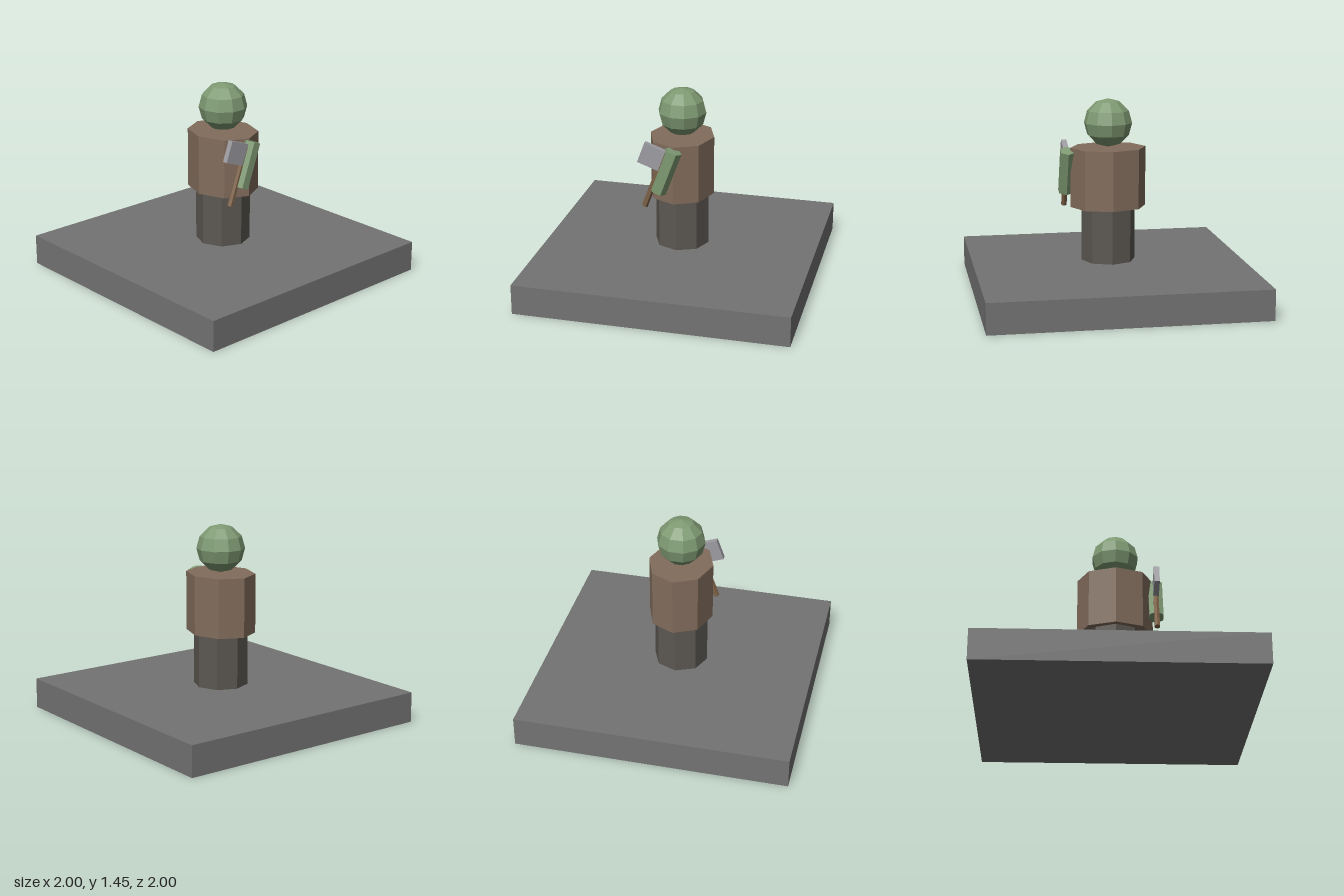
import * as THREE from 'three';

const paint = (color) => new THREE.MeshStandardMaterial({ color, flatShading: true });
const GREEN = paint(0x7f9a73);
const BROWN = paint(0x826d5c);
const WOOD = paint(0x7d6146);
const DARK = paint(0x5c5852);
const STONE = paint(0x737373);
const STEEL = paint(0x9c9ca2);

function part(name, geometry, material, x = 0, y = 0, z = 0) {
  const mesh = new THREE.Mesh(geometry, material);
  mesh.name = name;
  mesh.position.set(x, y, z);
  return mesh;
}

const prism = (radius, height, sides) => new THREE.CylinderGeometry(radius, radius, height, sides);

export function createModel() {
  const model = new THREE.Group();
  model.name = 'figureOnBase';

  // Square base slab, with the figure hovering just above it
  model.add(part('base', new THREE.BoxGeometry(2, 0.225, 2), STONE, 0, 0.1125, 0));

  // Body: octagonal legs and a wider torso, flattened front to back
  model.add(part('legs', prism(0.2, 0.402, 8), DARK, 0, 0.446, 0));
  const torso = part('torso', prism(0.28, 0.44, 8), BROWN, 0, 0.866, 0);
  torso.scale.z = 0.85;
  model.add(torso);

  // Faceted head, turned so a column of corners faces front
  const head = part('head', new THREE.SphereGeometry(0.178, 10, 6), GREEN, 0, 1.267, 0);
  head.rotation.y = Math.PI / 2;
  model.add(head);

  // Left arm, swung forward
  const tilt = -0.35;
  const arm = part('leftArm', prism(0.06, 0.341, 6), GREEN, 0.3, 0.906, 0.048);
  arm.rotation.x = tilt;
  model.add(arm);

  // Axe held parallel to the arm; origin at the foot of the handle
  const axe = new THREE.Group();
  axe.name = 'axe';
  axe.position.set(0.3, 0.626, 0.206);
  axe.rotation.x = tilt;
  axe.add(part('axeHandle', prism(0.022, 0.44, 6), WOOD, 0, 0.22, 0));
  axe.add(part('axeBlade', new THREE.BoxGeometry(0.04, 0.16, 0.163), STEEL, 0, 0.385, 0.083));
  model.add(axe);

  return model;
}
